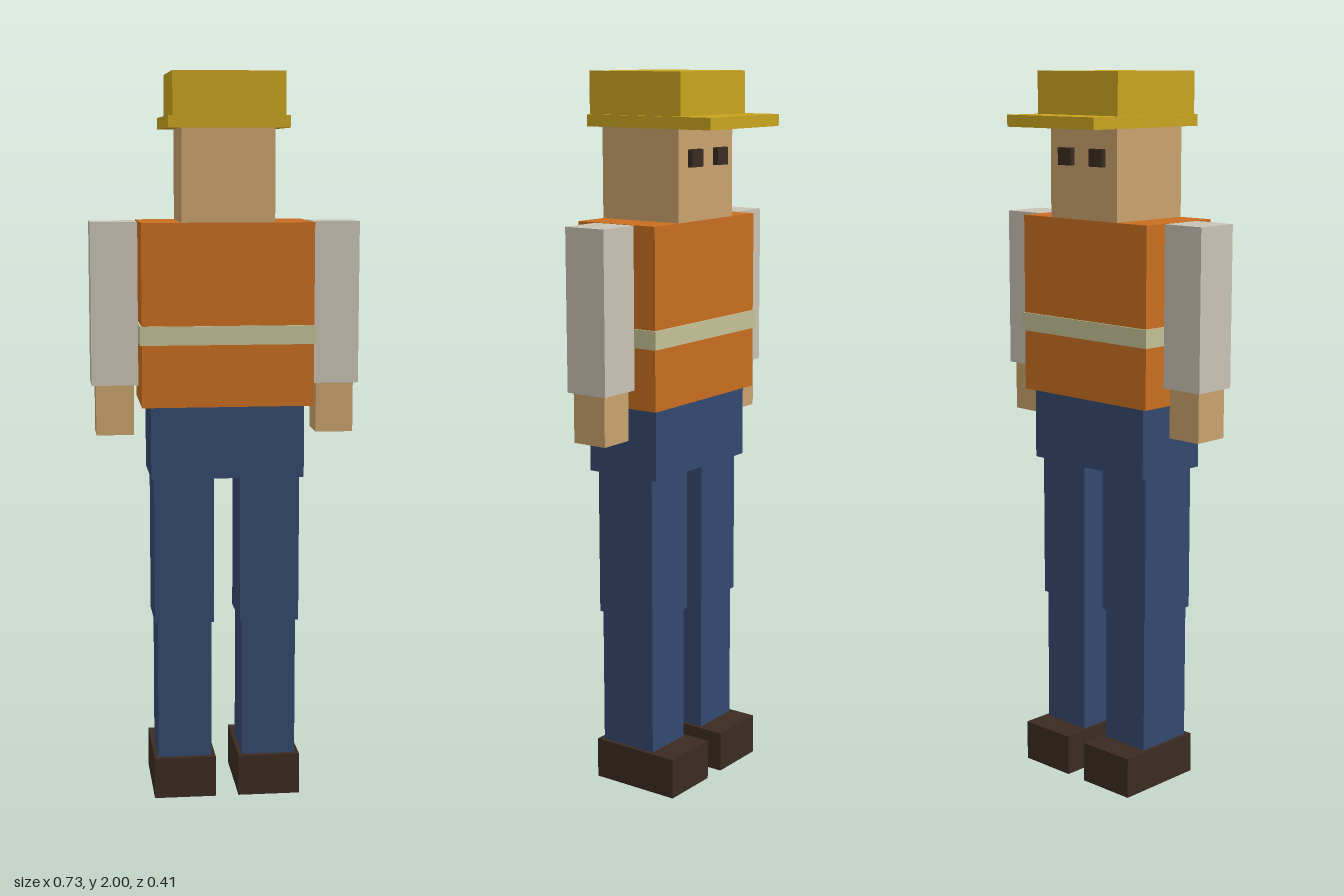
import * as THREE from 'three';

const mat = (name, color) => {
  const m = new THREE.MeshStandardMaterial({ color });
  m.name = name;
  return m;
};

export function createModel() {
  const model = new THREE.Group();
  model.name = 'worker';

  const yellow = mat('helmet yellow', 0xc9a420);
  const skin = mat('skin', 0xc9a26d);
  const orange = mat('vest orange', 0xc96e20);
  const reflective = mat('reflective stripe', 0xc4c096);
  const cloth = mat('sleeve grey', 0xc9c3b5);
  const denim = mat('trouser blue', 0x34496f);
  const leather = mat('shoe brown', 0x3b2b22);

  // Box given by its extents along each axis
  const box = (name, material, [x0, x1], [y0, y1], [z0, z1]) => {
    const mesh = new THREE.Mesh(new THREE.BoxGeometry(x1 - x0, y1 - y0, z1 - z0), material);
    mesh.position.set((x0 + x1) / 2, (y0 + y1) / 2, (z0 + z1) / 2);
    mesh.name = name;
    model.add(mesh);
  };
  const centred = (name, material, half, y, z) => box(name, material, [-half, half], y, z);
  const pair = (name, material, [x0, x1], y, z) => {
    box('left' + name, material, [x0, x1], y, z);
    box('right' + name, material, [-x1, -x0], y, z);
  };

  // Helmet, with the peak over the face at -z
  centred('helmetCrown', yellow, 0.15, [1.885, 2], [-0.1, 0.202]);
  centred('helmetBrim', yellow, 0.162, [1.853, 1.885], [-0.203, 0.202]);

  // Head and eyes
  centred('head', skin, 0.125, [1.605, 1.853], [-0.076, 0.179]);
  pair('Eye', leather, [0.034, 0.083], [1.75, 1.797], [-0.091, -0.075]);

  // Torso
  centred('vest', orange, 0.233, [1.11, 1.605], [-0.077, 0.179]);
  centred('vestStripe', reflective, 0.238, [1.279, 1.33], [-0.082, 0.184]);
  centred('hips', denim, 0.209, [0.912, 1.11], [-0.061, 0.167]);

  // Arms
  pair('Sleeve', cloth, [0.239, 0.366], [1.164, 1.605], [-0.012, 0.115]);
  pair('Hand', skin, [0.251, 0.354], [1.026, 1.164], [0, 0.104]);

  // Legs and shoes
  pair('Thigh', denim, [0.036, 0.2], [0.503, 0.912], [-0.039, 0.145]);
  pair('Shin', denim, [0.043, 0.192], [0.115, 0.503], [-0.033, 0.14]);
  pair('Shoe', leather, [0.032, 0.204], [0, 0.115], [-0.111, 0.156]);

  return model;
}
